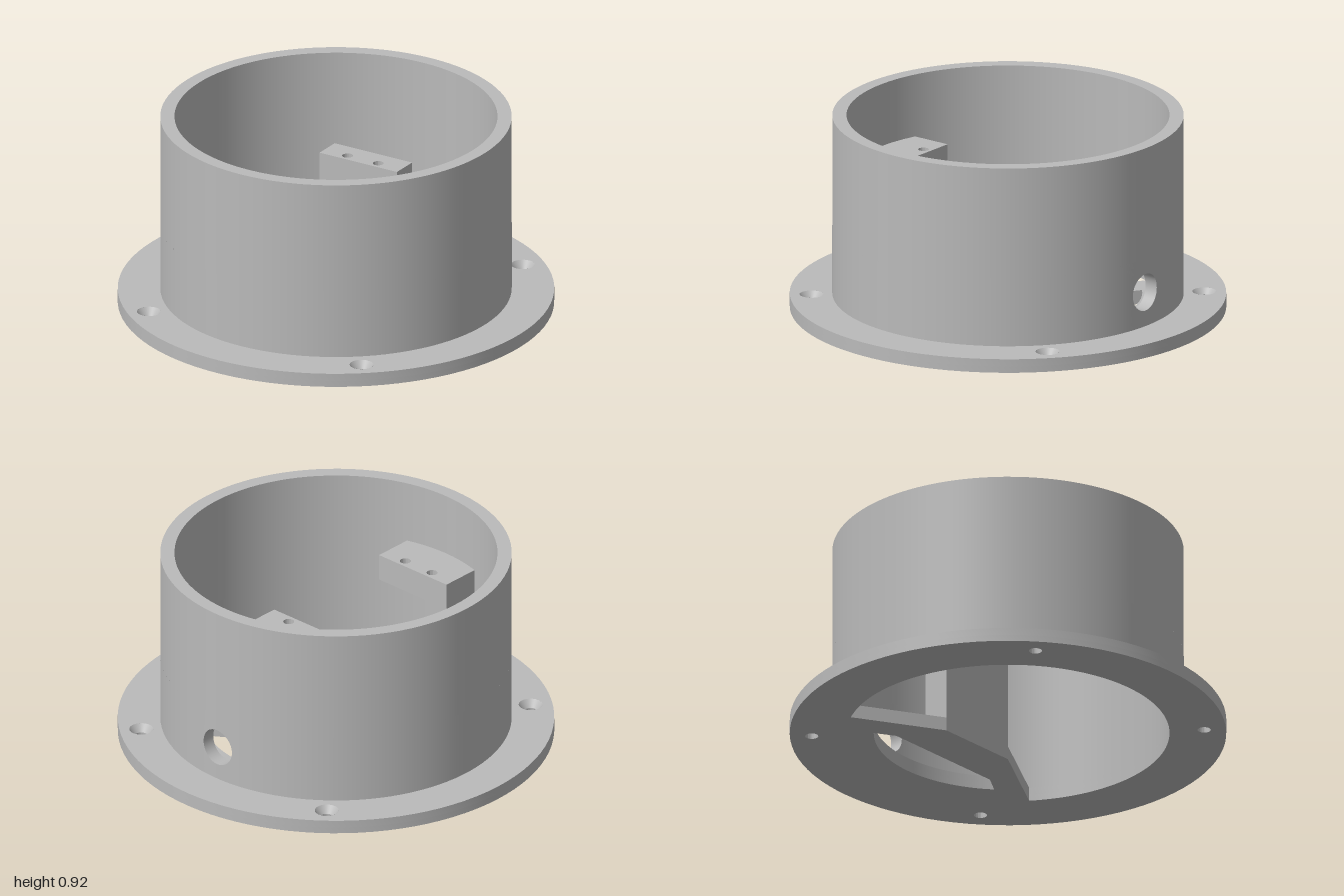
import * as THREE from 'three';
import { toCreasedNormals } from 'three/addons/utils/BufferGeometryUtils.js';
import { ParametricGeometry } from 'three/addons/geometries/ParametricGeometry.js';

const OUTER = 0.805, INNER = 0.74, TOP = 0.92, PLATE = 0.065;
const PORT_Y = 0.2275, PORT_R = 0.088, PATCH = 0.1625; // cable port and the square wall patch around it

export function createModel() {
  const model = new THREE.Group();
  const grey = new THREE.MeshStandardMaterial({ color: 0xbababa, side: THREE.DoubleSide });
  grey.name = 'grey plastic';

  const add = (parent, name, geometry, y = 0) => {
    const mesh = new THREE.Mesh(geometry, grey);
    mesh.name = name;
    mesh.position.y = y;
    parent.add(mesh);
    return mesh;
  };
  const group = (name) => {
    const g = new THREE.Group();
    g.name = name;
    model.add(g);
    return g;
  };
  const circle = (x, y, r) => new THREE.Path().absarc(x, y, r, 0, Math.PI * 2, false);
  // Plan shapes use y for -z; they are extruded upwards
  const slab = (shape, height) => {
    const g = new THREE.ExtrudeGeometry(shape, { depth: height, bevelEnabled: false, curveSegments: 48 });
    return toCreasedNormals(g.rotateX(-Math.PI / 2), 0.4);
  };

  // Flange with the bridge across the back, a slot behind it and four screw holes
  const screws = [[0.577, 0.69], [-0.577, 0.69], [0.577, -0.69], [-0.577, -0.69]];
  const plateShape = (screwRadius) => {
    const shape = new THREE.Shape().absarc(0, 0, 1, 0, Math.PI * 2, false);
    const a = Math.atan2(0.42, 0.61), b = Math.atan2(0.455, 0.41);
    const opening = new THREE.Path().absarc(0, 0, INNER, a, Math.PI - a, true);
    opening.lineTo(-0.21, 0.19).lineTo(0.21, 0.19).closePath();
    const slot = new THREE.Path().absarc(0, 0, 0.615, b, Math.PI - b, false);
    slot.lineTo(-0.32, 0.4).lineTo(0.32, 0.4).closePath();
    shape.holes.push(opening, slot, ...screws.map(([x, y]) => circle(x, y, screwRadius)));
    return shape;
  };
  const flange = group('flange');
  const sinkY = 0.03;
  add(flange, 'flangeLower', slab(plateShape(0.03), sinkY));
  add(flange, 'flangeUpper', slab(plateShape(0.055), PLATE - sinkY), sinkY);
  for (const [x, z] of screws) {
    const cone = new THREE.CylinderGeometry(0.055, 0.03, PLATE - sinkY, 32, 1, true);
    add(flange, 'countersink', cone, (PLATE + sinkY) / 2).position.set(x, (PLATE + sinkY) / 2, z);
  }

  // Tube wall: full ring above, ring with a gap at the back below
  const tube = group('tube');
  const split = PORT_Y + PATCH;
  for (const r of [OUTER, INNER]) {
    const side = r === OUTER ? 'outer' : 'inner';
    const gap = Math.asin(PATCH / r);
    add(tube, side + 'WallUpper',
      new THREE.CylinderGeometry(r, r, TOP - split, 96, 1, true), (TOP + split) / 2);
    add(tube, side + 'WallLower',
      new THREE.CylinderGeometry(r, r, split - PLATE, 96, 1, true, Math.PI + gap, 2 * (Math.PI - gap)),
      (split + PLATE) / 2);
    // Curved patch that blends from the round port to a square outline
    add(tube, side + 'PortSurround', new ParametricGeometry((u, v, p) => {
      const c = Math.cos(u * Math.PI * 2), s = Math.sin(u * Math.PI * 2);
      const k = THREE.MathUtils.lerp(PORT_R, PATCH / Math.max(Math.abs(c), Math.abs(s)), v);
      p.set(c * k, PORT_Y + s * k, -Math.sqrt(r * r - c * c * k * k));
    }, 48, 6));
  }
  add(tube, 'portBore', new ParametricGeometry((u, v, p) => {
    const x = PORT_R * Math.cos(u * Math.PI * 2), r = THREE.MathUtils.lerp(INNER, OUTER, v);
    p.set(x, PORT_Y + PORT_R * Math.sin(u * Math.PI * 2), -Math.sqrt(r * r - x * x));
  }, 48, 1));
  add(tube, 'rim', new THREE.RingGeometry(INNER, OUTER, 96).rotateX(-Math.PI / 2), TOP);

  // Mounting blocks, each with two blind screw holes in its top
  const mount = (name, zBack, zFront, bottom, top, holeZ) => {
    const g = group(name);
    const rect = () => new THREE.Shape([[-0.21, -zFront], [0.21, -zFront], [0.21, -zBack], [-0.21, -zBack]]
      .map(([x, y]) => new THREE.Vector2(x, y)));
    const drilled = rect();
    for (const x of [-0.083, 0.083]) drilled.holes.push(circle(x, -holeZ, 0.025));
    const floor = top - 0.1;
    add(g, name + 'Base', slab(rect(), floor - bottom), bottom);
    add(g, name + 'Top', slab(drilled, top - floor), floor);
  };
  mount('rearPost', -0.32, -0.19, PLATE, 0.622, -0.23);
  mount('frontLedge', 0.52, 0.75, 0.495, 0.622, 0.56);

  return model;
}
